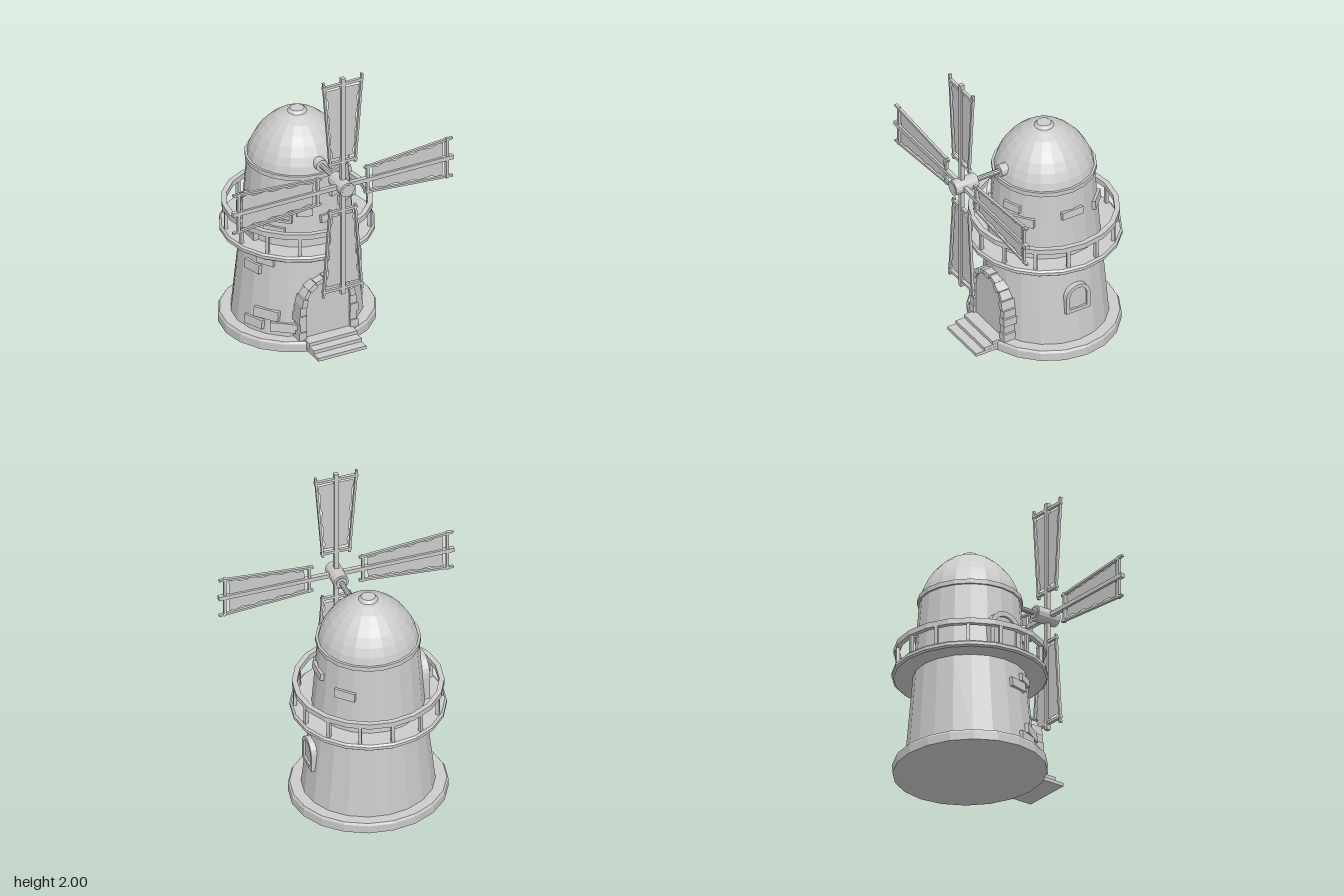
import * as THREE from 'three';

const SIDES = 20;
const CZ = -0.09; // tower axis
const HUB_Y = 1.23, SAIL_Z = 0.512;
const mat = new THREE.MeshStandardMaterial({ color: 0xcccccc, flatShading: true });
const thin = new THREE.MeshStandardMaterial({ color: 0xcccccc, side: THREE.DoubleSide });

function add(parent, name, geo, x = 0, y = 0, z = 0, material = mat) {
  const m = new THREE.Mesh(geo, material);
  m.name = name;
  m.position.set(x, y, z);
  parent.add(m);
  return m;
}
const box = (w, h, d) => new THREE.BoxGeometry(w, h, d);
const rod = (r, len, n = 8) => new THREE.CylinderGeometry(r, r, len, n);

function lathe(points) {
  return new THREE.LatheGeometry(points.map(p => new THREE.Vector2(...p)), SIDES);
}

// the foot of the tower is slightly flattened from front to back
function flattenFoot(geo) {
  const p = geo.attributes.position;
  for (let i = 0; i < p.count; i++) {
    const t = Math.max(0, 1 - p.getY(i) / 0.64);
    p.setZ(i, p.getZ(i) * (1 - 0.06 * t));
  }
  geo.computeVertexNormals();
  return geo;
}

const band = (r0, r1, y0, y1) => lathe([[r0, y0], [r1, y0], [r1, y1], [r0, y1], [r0, y0]]);

const wallRadius = y => y < 0.64
  ? THREE.MathUtils.mapLinear(y, 0.07, 0.64, 0.42, 0.355)
  : THREE.MathUtils.mapLinear(y, 0.64, 1.15, 0.355, 0.315);

// round-headed outline standing on y = 0
function arch(w, h, Type = THREE.Shape) {
  const r = w / 2, s = new Type();
  s.moveTo(-r, 0);
  s.lineTo(r, 0);
  s.lineTo(r, h - r);
  s.absarc(0, h - r, r, 0, Math.PI, false);
  s.lineTo(-r, 0);
  return s;
}
const extrude = (shape, depth) =>
  new THREE.ExtrudeGeometry(shape, { depth, bevelEnabled: false, curveSegments: 6 });

// group on the tower wall, its +z pointing outward
function onWall(parent, name, angle, y, r) {
  const g = new THREE.Group();
  g.name = name;
  g.position.set(Math.sin(angle) * r, y, CZ + Math.cos(angle) * r);
  g.rotation.y = angle;
  parent.add(g);
  return g;
}

function windowOn(parent, name, angle, y, r, w, h) {
  const g = onWall(parent, name, angle, y, r);
  const frame = arch(w, h), t = w * 0.14;
  const hole = new THREE.Path(arch(w - 2 * t, h - 2 * t).getPoints(6).map(p => p.setY(p.y + t)));
  frame.holes.push(hole);
  add(g, name + 'Frame', extrude(frame, 0.06), 0, 0, -0.06);
  add(g, name + 'Pane', extrude(arch(w - t, h - t), 0.045), 0, t / 2, -0.06);
}

function buildTower(root) {
  const g = new THREE.Group();
  g.name = 'tower';
  g.position.z = CZ;
  root.add(g);
  add(g, 'plinth', flattenFoot(lathe([[0, 0], [0.5, 0], [0.5, 0.055], [0.49, 0.07], [0, 0.07]])));
  add(g, 'wall', flattenFoot(lathe([[0.42, 0.06], [0.355, 0.64], [0.315, 1.15]])));
  add(g, 'eavesRing', band(0.29, 0.328, 1.14, 1.17));
  add(g, 'dome', lathe([[0.315, 1.16], [0.30, 1.22], [0.275, 1.275], [0.24, 1.33],
    [0.195, 1.38], [0.14, 1.425], [0.08, 1.455], [0, 1.467]]));
  add(g, 'domeCap', new THREE.CylinderGeometry(0.045, 0.062, 0.02, 16), 0, 1.47, 0);

  // balcony
  add(g, 'balconyFloor', lathe([[0, 0.64], [0.475, 0.64], [0.487, 0.65], [0.487, 0.67], [0.475, 0.682], [0, 0.682]]));
  add(g, 'handrail', band(0.44, 0.473, 0.802, 0.837));
  for (let i = 0; i < 14; i++) {
    const a = i / 14 * Math.PI * 2;
    add(g, 'balconyPost', box(0.022, 0.13, 0.022), Math.sin(a) * 0.456, 0.742, Math.cos(a) * 0.456).rotation.y = a;
  }
}

function buildBricks(root) {
  // angle from the front in degrees, height, width, thickness
  const bricks = [[-56, 0.205, 0.17, 0.065], [-39, 0.13, 0.18, 0.06], [-68, 0.13, 0.14, 0.06],
    [-75, 0.49, 0.13, 0.06], [-60, 0.56, 0.12, 0.05], [-52, 0.78, 0.14, 0.06], [-20, 0.92, 0.1, 0.05],
    [35, 0.94, 0.15, 0.06], [21, 1.02, 0.12, 0.05], [90, 0.985, 0.15, 0.05], [135, 0.94, 0.14, 0.06],
    [8, 0.86, 0.13, 0.05]];
  for (const [deg, y, w, h] of bricks) {
    const a = deg * Math.PI / 180;
    const r = wallRadius(y) * (y < 0.64 ? 1 - 0.06 * (1 - y / 0.64) * Math.cos(a) ** 2 : 1);
    const g = onWall(root, 'wallBrick', a, y, r);
    add(g, 'brick', box(w, h, 0.05), 0, 0, -0.012).rotation.x = -0.08;
  }
}

function buildDoor(root) {
  const g = new THREE.Group();
  g.name = 'doorway';
  root.add(g);
  const spring = 0.3, r0 = 0.152;
  add(g, 'door', extrude(arch(0.32, 0.38), 0.07), 0, 0.07, 0.24);
  // jamb stones, alternately long and short
  for (const s of [-1, 1]) for (let i = 0; i < 4; i++) {
    const w = i % 2 ? 0.044 : 0.054;
    add(g, 'jambStone', box(w, 0.054, i % 2 ? 0.085 : 0.095), s * (r0 + w / 2), 0.1 + i * 0.057, 0.283);
  }
  // arch stones
  const n = 9;
  for (let i = 0; i < n; i++) {
    const a0 = i / n * Math.PI + 0.01, a1 = (i + 1) / n * Math.PI - 0.01;
    const r1 = i % 2 ? 0.178 : 0.188;
    const s = new THREE.Shape([[r0, a0], [r1, a0], [r1, a1], [r0, a1]]
      .map(([r, a]) => new THREE.Vector2(Math.cos(a) * r, Math.sin(a) * r)));
    add(g, 'archStone', extrude(s, i % 2 ? 0.085 : 0.095), 0, spring, 0.238);
  }
  // steps
  [0.51, 0.45, 0.39].forEach((front, i) =>
    add(g, 'step', box(0.335, 0.022, front - 0.25), 0, 0.022 + i * 0.023, (front + 0.25) / 2));
}

// ragged cloth tapering toward the hub
function clothShape() {
  const pts = [], n = 12, edge = [];
  for (let i = 0; i <= n; i++) {
    const t = i / n;
    edge.push([0.083 + 0.037 * t - 0.007 * (1 + Math.sin(i * 2.1)), 0.205 + 0.495 * t]);
  }
  for (const [x, y] of edge) pts.push(new THREE.Vector2(x, y));
  for (const [x, y] of edge.reverse()) pts.push(new THREE.Vector2(-x, y + 0.004));
  return new THREE.Shape(pts);
}

function buildSails(root) {
  const g = new THREE.Group();
  g.name = 'sails';
  g.position.set(0, HUB_Y, SAIL_Z);
  root.add(g);
  add(g, 'hub', rod(0.05, 0.165, 12), 0, 0, -0.017).rotation.x = Math.PI / 2;
  add(g, 'hubPin', rod(0.036, 0.175, 12), 0, 0, -0.02).rotation.x = Math.PI / 2;
  add(g, 'axle', rod(0.017, 0.3, 10), 0, 0, -0.2).rotation.x = Math.PI / 2;
  add(g, 'axleCollar', rod(0.04, 0.12, 12), 0, 0, -0.332).rotation.x = Math.PI / 2;

  for (let i = 0; i < 4; i++) {
    const sail = new THREE.Group();
    sail.name = 'sail';
    sail.rotation.z = i * Math.PI / 2;
    g.add(sail);
    add(sail, 'spar', box(0.028, 0.77, 0.028), 0, 0.387, 0);
    add(sail, 'cloth', new THREE.ShapeGeometry(clothShape()), 0, 0, 0, thin);
    add(sail, 'innerBar', box(0.2, 0.018, 0.02), 0, 0.175, 0);
    add(sail, 'outerBar', box(0.285, 0.018, 0.02), 0, 0.73, 0);
    for (const s of [-1, 1])
      add(sail, 'sideRail', box(0.014, 0.62, 0.018), s * 0.111, 0.46, 0).rotation.z = -s * 0.077;
  }
}

export function createModel() {
  const root = new THREE.Group();
  root.name = 'windmill';
  buildTower(root);
  buildBricks(root);
  buildDoor(root);
  windowOn(root, 'sideWindow', Math.PI / 2, 0.28, 0.404, 0.175, 0.2);
  windowOn(root, 'balconyDoor', -Math.PI / 2, 0.68, 0.366, 0.23, 0.28);
  windowOn(root, 'smallWindow', -0.75, 0.85, 0.352, 0.12, 0.13);
  buildSails(root);
  return root;
}
